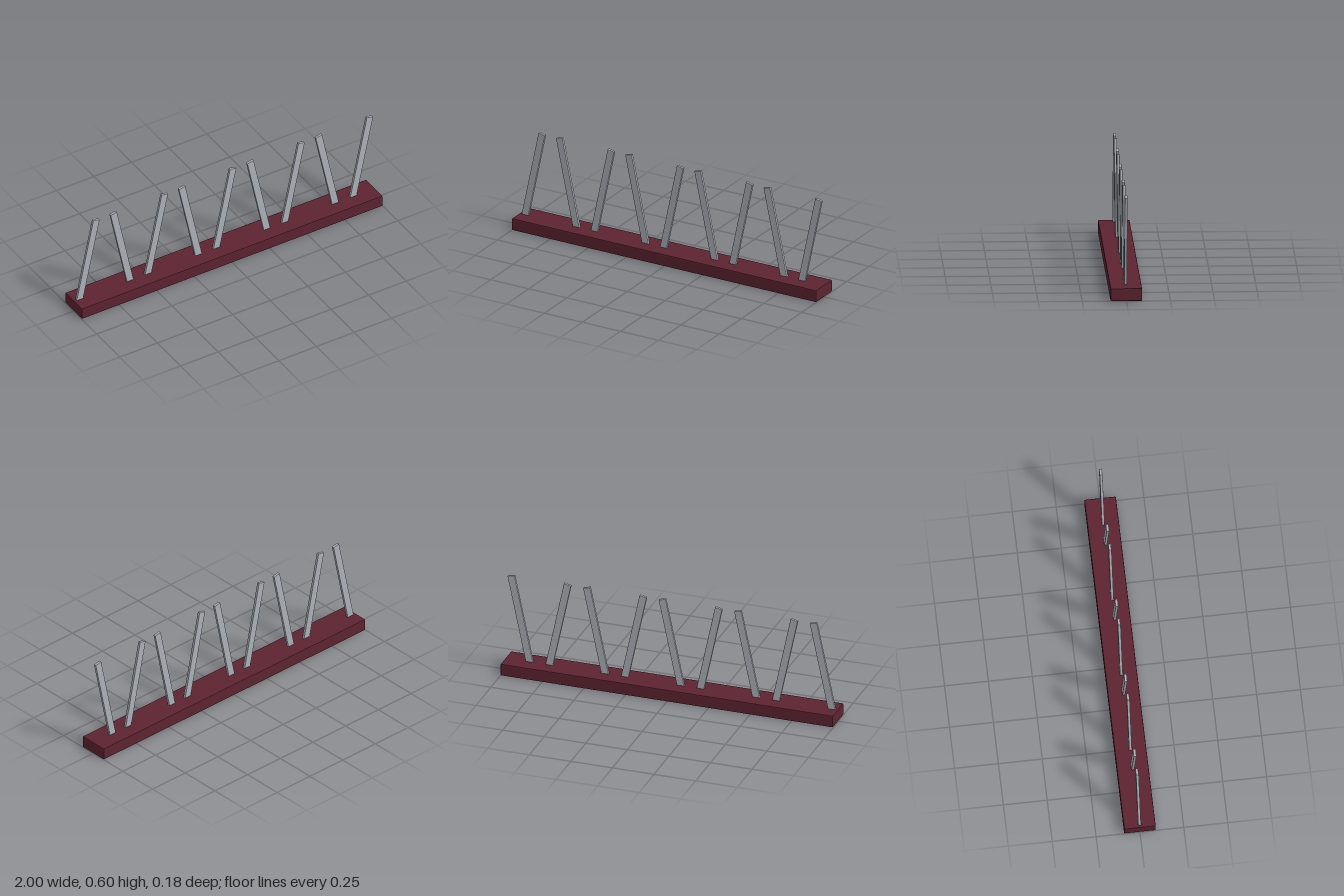
import * as THREE from 'three';
import { RoundedBoxGeometry } from 'three/addons/geometries/RoundedBoxGeometry.js';

export function createModel() {
  const model = new THREE.Group();
  model.name = 'slottedRack';

  const maroon = new THREE.MeshStandardMaterial({ color: 0x5c2330, flatShading: true });
  maroon.name = 'maroon';
  const steel = new THREE.MeshStandardMaterial({ color: 0xacb2b9, flatShading: true });
  steel.name = 'steel grey';

  // Long chamfered base bar
  const baseHeight = 0.073;
  const base = new THREE.Mesh(new RoundedBoxGeometry(2, baseHeight, 0.18, 1, 0.006), maroon);
  base.name = 'base';
  base.position.y = baseHeight / 2;
  model.add(base);

  // Slat with its origin where it leaves the base, sunk a little below it
  const tilt = THREE.MathUtils.degToRad(11.9);
  const sunk = 0.045;
  const exposed = 0.534;
  const slatGeometry = new RoundedBoxGeometry(0.043, exposed + sunk, 0.016, 1, 0.002);
  slatGeometry.translate(0, (exposed - sunk) / 2, 0);

  function addSlat(name, x, angle) {
    const slat = new THREE.Mesh(slatGeometry, steel);
    slat.name = name;
    slat.position.set(x, baseHeight, 0);
    slat.rotation.z = angle;
    model.add(slat);
  }

  // Slats lean alternately towards +x and -x
  const pitch = 0.4545;
  for (let i = 0; i < 5; i++) {
    addSlat(`leftLeaningSlat${i + 1}`, -0.962 + i * pitch, -tilt);
    if (i < 4) addSlat(`rightLeaningSlat${i + 1}`, -0.627 + i * pitch, tilt);
  }
  return model;
}
